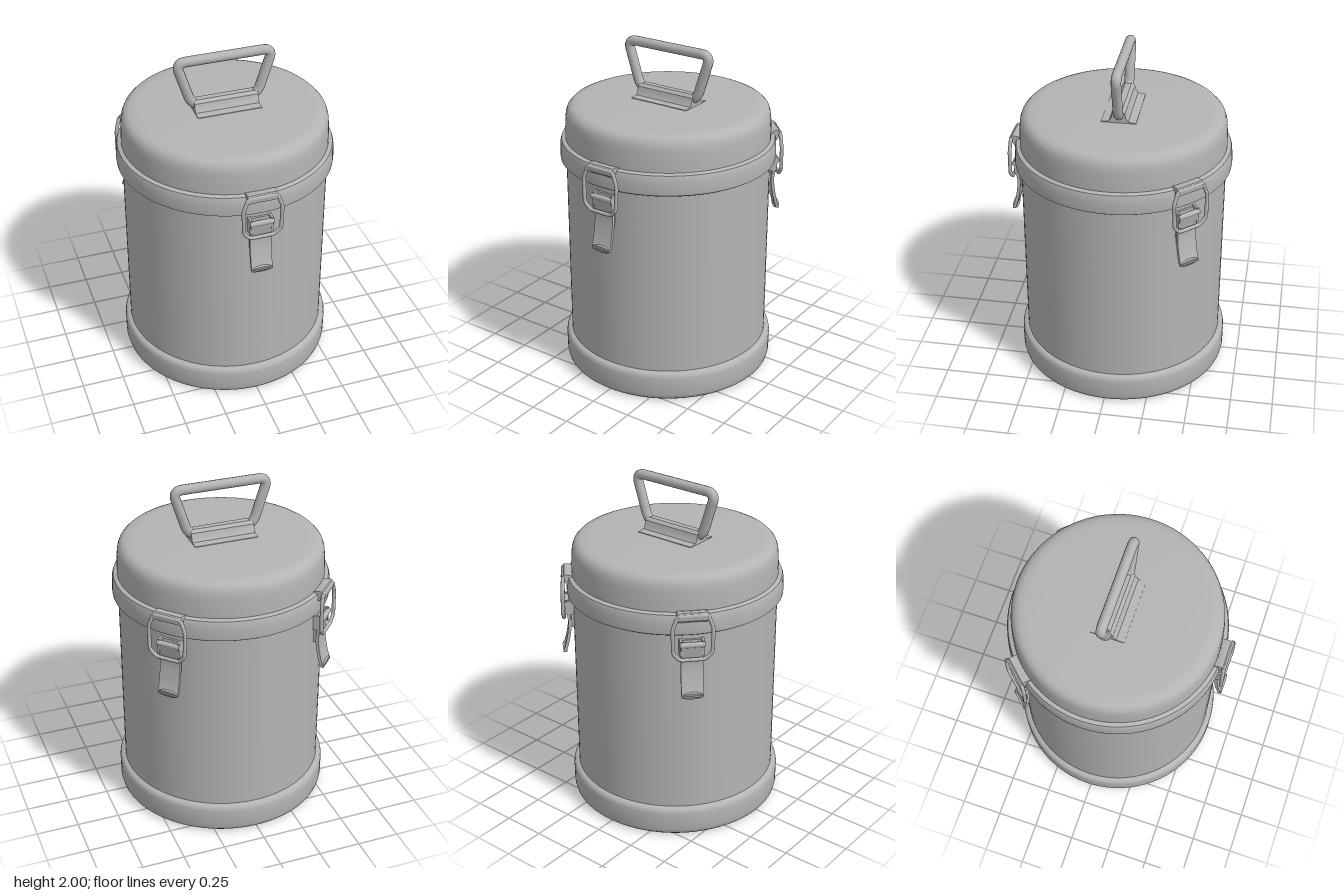
import * as THREE from 'three';
import { toCreasedNormals } from 'three/addons/utils/BufferGeometryUtils.js';

const metal = new THREE.MeshStandardMaterial({ color: 0xb4b4b4 });
metal.name = 'brushed grey metal';

function add(parent, name, geometry) {
  const mesh = new THREE.Mesh(geometry, metal);
  mesh.name = name;
  parent.add(mesh);
  return mesh;
}

// Turned part from [radius, height] pairs, listed bottom to top
function turned(points) {
  const profile = points.map(([r, y]) => new THREE.Vector2(r, y));
  return toCreasedNormals(new THREE.LatheGeometry(profile, 96), 0.7);
}

// Closed wire through corner points, each corner rounded
function wireLoop(corners, round, radius, segments) {
  const pts = corners.map((c) => new THREE.Vector3(...c));
  const path = new THREE.CurvePath();
  const toward = (a, b) => a.clone().add(b.clone().sub(a).setLength(round));
  pts.forEach((p, i) => {
    const prev = pts[(i + pts.length - 1) % pts.length];
    const next = pts[(i + 1) % pts.length];
    path.add(new THREE.QuadraticBezierCurve3(toward(p, prev), p, toward(p, next)));
    path.add(new THREE.LineCurve3(toward(p, next), toward(next, p)));
  });
  return new THREE.TubeGeometry(path, segments, radius, 12, true);
}

// Side profile of [depth, height] pairs, extruded across the width
function across(points, width) {
  const shape = new THREE.Shape(points.map(([z, y]) => new THREE.Vector2(z, y)));
  const geo = new THREE.ExtrudeGeometry(shape, { depth: width, bevelEnabled: false });
  geo.translate(0, 0, -width / 2).rotateY(-Math.PI / 2);
  return toCreasedNormals(geo, 0.6);
}

// Toggle latch facing +z, with z measured from the canister axis
function createLatch() {
  const latch = new THREE.Group();
  latch.name = 'latch';

  // Hook on the lid band that holds the wire
  add(latch, 'latchHook', across([
    [0.59, 1.40], [0.63, 1.40], [0.645, 1.42], [0.66, 1.42], [0.663, 1.445],
    [0.645, 1.462], [0.62, 1.462], [0.58, 1.45],
  ], 0.17));

  // Wire bail
  const half = [[0.085, 1.445, 0.652], [0.113, 1.37, 0.657], [0.108, 1.225, 0.66], [0.07, 1.185, 0.655]];
  const mirrored = half.map(([x, y, z]) => [-x, y, z]).reverse();
  add(latch, 'latchWire', wireLoop([...half, ...mirrored], 0.018, 0.011, 160));

  // Curved lever, a strip of even thickness with a kicked out tip
  const centre = new THREE.CatmullRomCurve3([
    [0.66, 0.955], [0.645, 1.0], [0.63, 1.07], [0.622, 1.15], [0.634, 1.22], [0.642, 1.265],
  ].map(([z, y]) => new THREE.Vector3(z, y, 0))).getPoints(16);
  const outer = centre.map((p) => [p.x + 0.009, p.y]);
  const inner = centre.map((p) => [p.x - 0.009, p.y]).reverse();
  add(latch, 'latchLever', across([...outer, ...inner], 0.125));

  // Rounded lower end of the lever
  const tip = new THREE.CylinderGeometry(0.0625, 0.0625, 0.016, 24);
  tip.scale(1, 1, 0.35).rotateX(Math.PI / 2 + 0.3).translate(0, 0.962, 0.658);
  add(latch, 'latchLeverTip', tip);

  // Pivot pin, its two ears and the mount on the body
  const pin = new THREE.CylinderGeometry(0.016, 0.016, 0.14, 16);
  add(latch, 'latchPin', pin.rotateZ(Math.PI / 2).translate(0, 1.268, 0.642));
  for (const side of [-1, 1]) {
    const ear = new THREE.BoxGeometry(0.014, 0.09, 0.05);
    add(latch, 'latchEar', ear.translate(side * 0.062, 1.245, 0.62));
  }
  add(latch, 'latchMount', new THREE.BoxGeometry(0.11, 0.17, 0.02).translate(0, 1.2, 0.602));
  return latch;
}

export function createModel() {
  const model = new THREE.Group();
  model.name = 'canister';
  const can = new THREE.Group();
  can.name = 'canisterParts';
  can.position.z = -0.02;
  model.add(can);

  add(can, 'body', turned([[0.6, 0.1], [0.6, 1.4]]));

  // Foot ring with closed underside
  add(can, 'base', turned([
    [0, 0.005], [0.59, 0.005], [0.612, 0.01], [0.626, 0.022], [0.632, 0.045],
    [0.633, 0.155], [0.629, 0.175], [0.618, 0.186], [0.598, 0.192],
  ]));

  // Band that overlaps the body
  add(can, 'lidBand', turned([
    [0.598, 1.325], [0.622, 1.32], [0.632, 1.327], [0.634, 1.345], [0.632, 1.39],
    [0.63, 1.425], [0.624, 1.441], [0.612, 1.447], [0.596, 1.45],
  ]));

  // Lid with a rounded shoulder
  add(can, 'lid', turned([
    [0.602, 1.42], [0.601, 1.5], [0.598, 1.56], [0.594, 1.595], [0.585, 1.62],
    [0.568, 1.638], [0.545, 1.648], [0.5, 1.652], [0.3, 1.655], [0, 1.657],
  ]));

  // Carrying handle
  add(can, 'handle', wireLoop([
    [-0.195, 1.69, 0], [-0.285, 1.971, 0], [0.285, 1.971, 0], [0.195, 1.69, 0],
  ], 0.06, 0.029, 160));

  // Folded clamp that holds the handle on the lid
  add(can, 'handleClamp', across([
    [0.1, 1.645], [0.1, 1.66], [0.055, 1.664], [0.042, 1.685], [0.036, 1.712], [0.018, 1.728],
    [-0.018, 1.728], [-0.036, 1.712], [-0.042, 1.685], [-0.055, 1.664], [-0.1, 1.66], [-0.1, 1.645],
  ].reverse(), 0.38));

  // One latch in front, two towards the back
  for (const degrees of [0, 133, -133]) {
    const latch = createLatch();
    latch.rotation.y = THREE.MathUtils.degToRad(degrees);
    can.add(latch);
  }
  return model;
}
